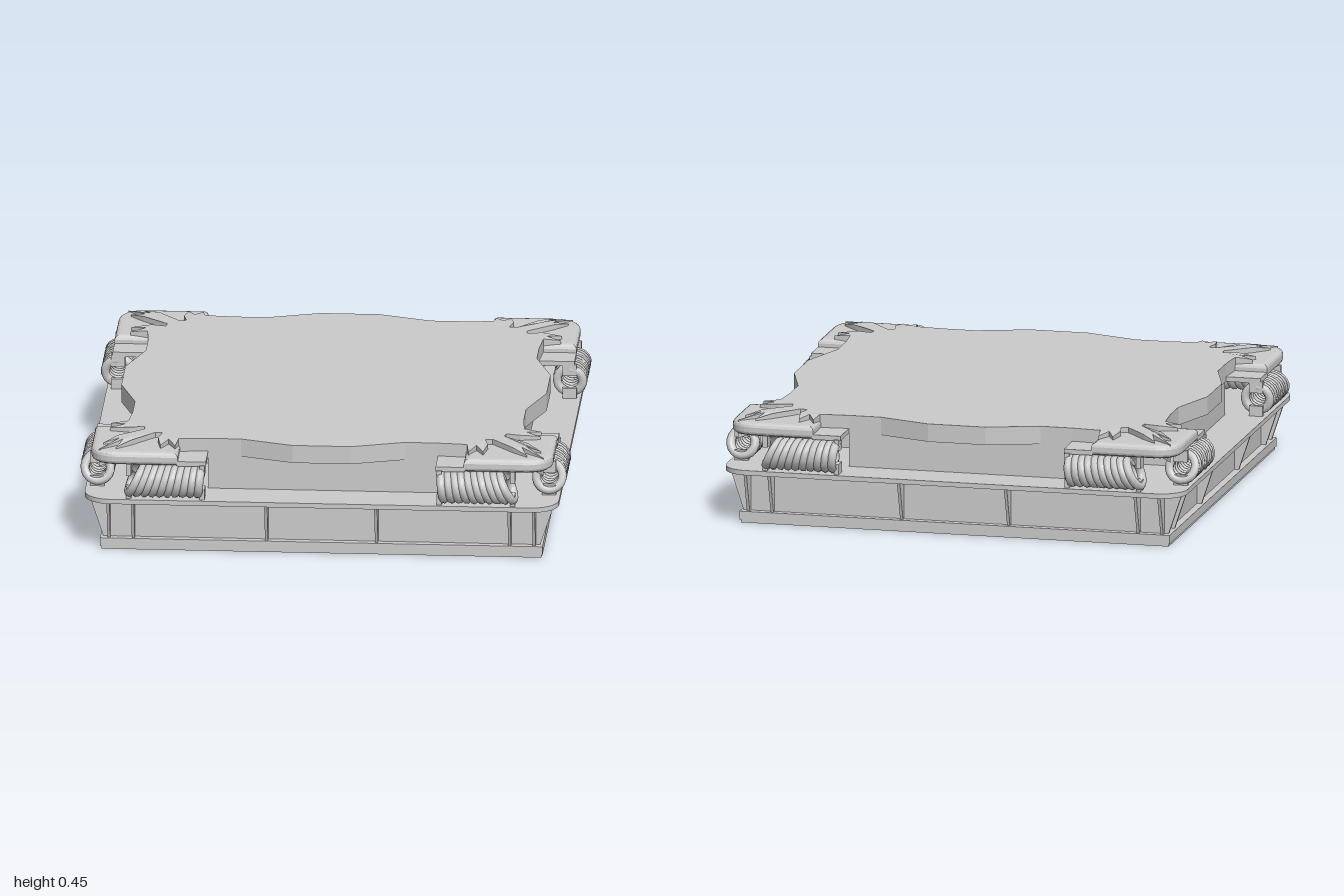
import * as THREE from 'three';

const grey = new THREE.MeshStandardMaterial({ color: 0xcccccc, side: THREE.DoubleSide });

function add(parent, name, geometry) {
  const mesh = new THREE.Mesh(geometry, grey);
  mesh.name = name;
  parent.add(mesh);
  return mesh;
}

// Box given by its limits on each axis
function block(parent, name, x0, x1, y0, y1, z0, z1) {
  const mesh = add(parent, name, new THREE.BoxGeometry(x1 - x0, y1 - y0, z1 - z0));
  mesh.position.set((x0 + x1) / 2, (y0 + y1) / 2, (z0 + z1) / 2);
  return mesh;
}

// Horizontal slab whose shape is drawn as (x, z)
function slab(shape, y, depth, options = {}) {
  const g = new THREE.ExtrudeGeometry(shape, { depth, bevelEnabled: false, curveSegments: 8, ...options });
  return g.rotateX(Math.PI / 2).translate(0, y + depth, 0);
}

function roundedSquare(h, r) {
  const s = new THREE.Shape();
  for (let i = 0; i < 4; i++) s.absarc(
    (i === 0 || i === 3 ? 1 : -1) * (h - r), (i < 2 ? 1 : -1) * (h - r), r, i * Math.PI / 2, (i + 1) * Math.PI / 2, false);
  return s;
}

// Top plate outline: half of one corner, mirrored over the diagonal, turned four times
function clawedOutline() {
  const half = [[.87, .12], [.80, .335], [.80, .47], [.81, .59], [.88, .60], [.82, .63], [.88, .66],
    [.80, .675], [.74, .66], [.735, .69], [.84, .78], [.895, .84], [.83, .815]];
  const quarter = [...half, [.91, .91], ...half.map(([x, z]) => [z, x]).reverse()];
  const points = [];
  for (let i = 0; i < 4; i++) {
    const c = [1, 0, -1, 0][i], s = [0, 1, 0, -1][i];
    quarter.forEach(([x, z]) => points.push(new THREE.Vector2(x * c - z * s, x * s + z * c)));
  }
  return new THREE.Shape(points);
}

// Coil along x, or along z when swapped; it leans more towards the corner
function spring(swap) {
  const points = [], turns = 10;
  for (let i = 0; i <= turns * 14; i++) {
    const t = i / (turns * 14), a = t * turns * Math.PI * 2;
    const y = Math.cos(a) * .051;
    const along = .49 + t * .29 - y * t * .45;
    const out = .924 + Math.sin(a) * .053;
    points.push(swap ? new THREE.Vector3(out, .305 + y, along) : new THREE.Vector3(along, .305 + y, out));
  }
  return new THREE.TubeGeometry(new THREE.CatmullRomCurve3(points), turns * 18, .0185, 8);
}

function corner() {
  const g = new THREE.Group();
  g.name = 'corner';

  // Rounded cap with a softened upper edge
  const s = new THREE.Shape();
  s.moveTo(.61, .61);
  s.lineTo(.92, .61);
  s.lineTo(.92, .83);
  s.quadraticCurveTo(.92, .92, .83, .92);
  s.lineTo(.61, .92);
  s.closePath();
  const cap = slab(s, .39, .02, { bevelEnabled: true, bevelThickness: .018, bevelSize: .025, bevelSegments: 3 });
  const p = cap.attributes.position;
  for (let i = 0; i < p.count; i++) p.setY(i, Math.max(.375, p.getY(i)));
  cap.computeVertexNormals();
  add(g, 'cornerCap', cap);

  for (const swap of [false, true]) {
    const part = (name, a0, a1, y0, y1, o0, o1) => swap
      ? block(g, name, o0, o1, y0, y1, a0, a1) : block(g, name, a0, a1, y0, y1, o0, o1);
    add(g, 'spring', spring(swap));
    part('springBracket', .47, .59, .375, .395, .79, .945);
    // Tabs holding the spring ends
    for (const a of [.475, .775]) {
      part('lowerTab', a, a + .02, .23, .278, .895, .953);
      part('upperTab', a, a + .02, .332, .38, .895, .953);
    }
    for (const a of [.62, .775]) {
      const rivet = add(g, 'rivet', new THREE.SphereGeometry(.016, 10, 8));
      rivet.position.set(swap ? .925 : a, .408, swap ? a : .925);
    }
  }
  return g;
}

export function createModel() {
  const model = new THREE.Group();
  model.name = 'springPlatform';

  // Base
  block(model, 'groundPlate', -.9, .9, 0, .02, -.9, .9);
  block(model, 'bottomPlate', -.905, .905, .012, .048, -.905, .905);
  block(model, 'baseBody', -.875, .875, .045, .217, -.875, .875);
  add(model, 'flange', slab(roundedSquare(.97, .11), .215, .02));

  // Tapered ribs around the base
  const ribShape = new THREE.Shape([[.85, .045], [.893, .045], [.95, .217], [.85, .217]]
    .map(([x, y]) => new THREE.Vector2(x, y)));
  for (let side = 0; side < 4; side++) {
    const ribs = new THREE.Group();
    ribs.name = 'ribRow';
    const inner = side % 2 ? .225 : .315;
    for (const z of [-.87, -.77, -inner, inner, .77, .87]) {
      const rib = new THREE.ExtrudeGeometry(ribShape, { depth: .012, bevelEnabled: false });
      add(ribs, 'rib', rib).position.z = z - .006;
    }
    ribs.rotation.y = side * Math.PI / 2;
    model.add(ribs);
  }

  // Cross-shaped core, open below the corner caps
  block(model, 'coreAcross', -.795, .795, .23, .378, -.47, .47);
  block(model, 'coreAlong', -.47, .47, .23, .378, -.795, .795);

  // Top plate with claws bending down at their tips
  const top = slab(clawedOutline(), .375, .075);
  const p = top.attributes.position;
  for (let i = 0; i < p.count; i++) {
    const x = Math.abs(p.getX(i)), z = Math.abs(p.getZ(i));
    if (Math.min(x, z) > .5) p.setY(i, p.getY(i) - Math.max(0, Math.max(x, z) - .86) * .4);
  }
  top.computeVertexNormals();
  add(model, 'topPlate', top);

  // Four corners with caps and springs
  for (let i = 0; i < 4; i++) {
    const c = corner();
    c.rotation.y = i * Math.PI / 2;
    model.add(c);
  }
  return model;
}
